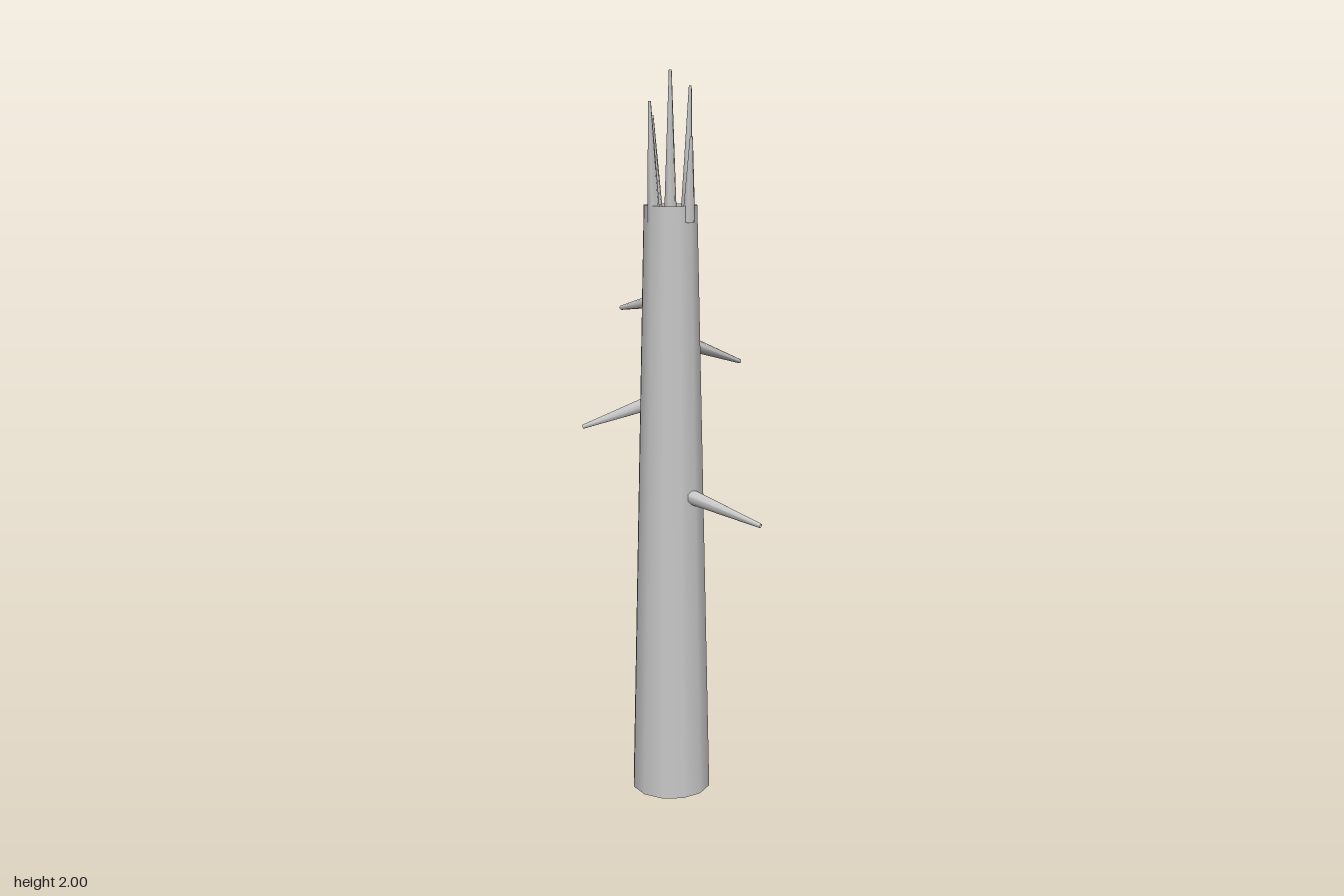
import * as THREE from 'three';

const UP = new THREE.Vector3(0, 1, 0);

// Open tapered tube running from one point to another
function taper(name, from, to, r0, r1, sides, material) {
  const a = new THREE.Vector3(...from);
  const dir = new THREE.Vector3(...to).sub(a);
  const length = dir.length();
  const geometry = new THREE.CylinderGeometry(r1, r0, length, sides, 1, true);
  geometry.translate(0, length / 2, 0);
  const mesh = new THREE.Mesh(geometry, material);
  mesh.name = name;
  mesh.position.copy(a);
  mesh.quaternion.setFromUnitVectors(UP, dir.normalize());
  return mesh;
}

export function createModel() {
  const group = new THREE.Group();
  group.name = 'brokenTreeTrunk';
  const wood = new THREE.MeshStandardMaterial({ color: 0xc8c8c8, side: THREE.DoubleSide });
  wood.name = 'grey wood';

  // Hollow trunk, open at both ends
  group.add(taper('trunk', [-0.02, 0, 0.037], [-0.02, 1.652, 0.037], 0.112, 0.073, 12, wood));

  // Drooping branch stubs, starting just inside the trunk wall
  const branches = [
    [[0.03, 0.872, 0.076], [0.252, 0.817, 0.155]],
    [[0.007, 1.28, -0.01], [0.136, 1.207, -0.158]],
    [[-0.05, 1.397, 0.008], [-0.193, 1.357, -0.099]],
    [[-0.06, 1.125, 0.055], [-0.254, 1.052, 0.095]],
  ];
  branches.forEach(([from, to], i) =>
    group.add(taper(`branch${i + 1}`, from, to, 0.022, 0.006, 8, wood)));

  // Splinters around the broken top, leaning slightly outwards
  const splinters = [
    [[-0.02, 1.61, 0.037], [-0.02, 2, 0.037]],
    [[-0.063, 1.61, 0.008], [-0.078, 1.885, 0]],
    [[0.015, 1.61, -0.005], [0.023, 1.96, -0.012]],
    [[-0.054, 1.61, 0.082], [-0.062, 1.92, 0.096]],
    [[0.037, 1.61, 0.072], [0.046, 1.83, 0.082]],
  ];
  splinters.forEach(([from, to], i) =>
    group.add(taper(`splinter${i + 1}`, from, to, 0.018, 0.004, 6, wood)));

  return group;
}
